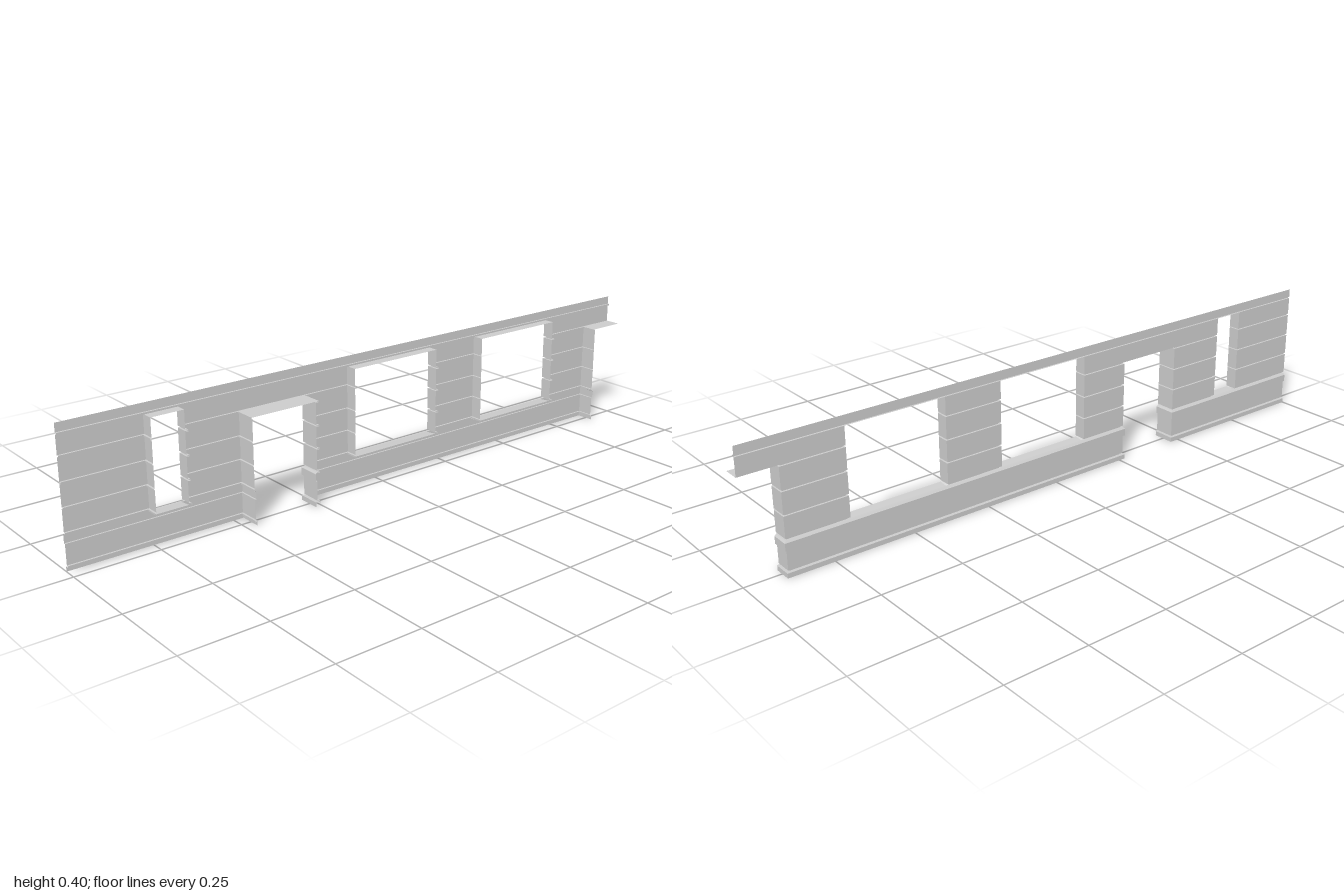
import * as THREE from 'three';

const material = new THREE.MeshStandardMaterial({ color: 0xcccccc, side: THREE.DoubleSide, flatShading: true });

// Depths of the reveals behind the outer face
const WINDOW = 0.037, DOOR = 0.064, END = 0.05;
const GROOVE = -0.006, LEDGE = 0.005;

// The wall runs very slightly askew along z; its outer face looks to -x
const faceX = z => -0.0295 - 0.0045 * z;

// Surface through rows of [depth behind the face, y, z] points
function loft(name, rows) {
  const pos = [];
  const put = ([d, y, z]) => pos.push(faceX(z) + d, y, z);
  for (let i = 0; i < rows.length - 1; i++) {
    for (let j = 0; j < rows[i].length - 1; j++) {
      const a = rows[i][j], b = rows[i][j + 1], c = rows[i + 1][j + 1], d = rows[i + 1][j];
      [a, b, c, a, c, d].forEach(put);
    }
  }
  const geo = new THREE.BufferGeometry();
  geo.setAttribute('position', new THREE.Float32BufferAttribute(pos, 3));
  geo.computeVertexNormals();
  const mesh = new THREE.Mesh(geo, material);
  mesh.name = name;
  return mesh;
}

// Stretch of wall from z0 to z1 following a profile of [projection, y].
// A depth at either end turns the profile round the corner into a reveal.
function wall(name, profile, z0, z1, depth0 = 0, depth1 = 0) {
  return loft(name, profile.map(([out, y]) => {
    const za = depth0 ? z0 - out : z0, zb = depth1 ? z1 + out : z1;
    const back = Math.max(0, -out);
    const row = [[-out, y, za], [-out, y, zb]];
    if (depth0) row.unshift([depth0 + back, y, za]);
    if (depth1) row.push([depth1 + back, y, zb]);
    return row;
  }));
}

// Sill or lintel sheet across an opening
function ledge(name, z0, z1, front, back) {
  return loft(name, [[[...front, z0], [...front, z1]], [[...back, z0], [...back, z1]]]);
}

// Plinth with foot, groove and sloping sill band
const plinth = [
  [LEDGE, 0], [LEDGE, 0.014], [GROOVE, 0.014], [GROOVE, 0.019], [0, 0.019],
  [0, 0.078], [LEDGE, 0.078], [LEDGE, 0.1], [0, 0.105], [GROOVE, 0.105],
];

// Stone courses divided by grooves
const courses = [];
for (const [bottom, top] of [[0.11, 0.173], [0.178, 0.241], [0.246, 0.311]]) {
  courses.push([GROOVE, bottom - 0.005], [GROOVE, bottom], [0, bottom], [0, top], [GROOVE, top]);
}
courses.push([GROOVE, 0.316]);

const upper = [[GROOVE, 0.316], [0, 0.316], [0, 0.37]];
const cornice = [[0, 0.37], [GROOVE, 0.37], [GROOVE, 0.375], [0, 0.375], [0, 0.4]];

export function createModel() {
  const group = new THREE.Group();
  group.name = 'facadeWall';

  // Plinth on both sides of the doorway
  group.add(wall('plinthShort', plinth, 0.474, 1, DOOR, 0));
  group.add(wall('plinthLong', plinth, -0.885, 0.265, END, DOOR));

  // Piers between the openings
  const piers = [
    [0.76, 1, WINDOW, 0],
    [0.474, 0.662, DOOR, WINDOW],
    [0.107, 0.265, WINDOW, DOOR],
    [-0.385, -0.199, WINDOW, WINDOW],
    [-0.885, -0.695, END, WINDOW],
  ];
  for (const p of piers) group.add(wall('pier', courses, ...p));

  // Course above the doorway height, cut only by the windows
  const blocks = [
    [0.76, 1, WINDOW, 0],
    [0.107, 0.662, WINDOW, WINDOW],
    [-0.385, -0.199, WINDOW, WINDOW],
    [-1, -0.695, 0, WINDOW],
  ];
  for (const b of blocks) group.add(wall('upperCourse', upper, ...b));

  group.add(wall('cornice', cornice, -1, 1));

  // Window sills and lintels
  for (const [z0, z1] of [[0.662, 0.76], [-0.199, 0.107], [-0.695, -0.385]]) {
    group.add(ledge('windowSill', z0, z1, [-LEDGE, 0.1], [WINDOW, 0.105]));
    group.add(ledge('windowLintel', z0, z1, [0, 0.37], [WINDOW, 0.37]));
  }

  // Lintels over the doorway and the open end
  group.add(ledge('doorLintel', 0.259, 0.48, [0, 0.316], [DOOR - GROOVE, 0.316]));
  group.add(ledge('endLintel', -1, -0.879, [0, 0.316], [END, 0.316]));
  return group;
}
